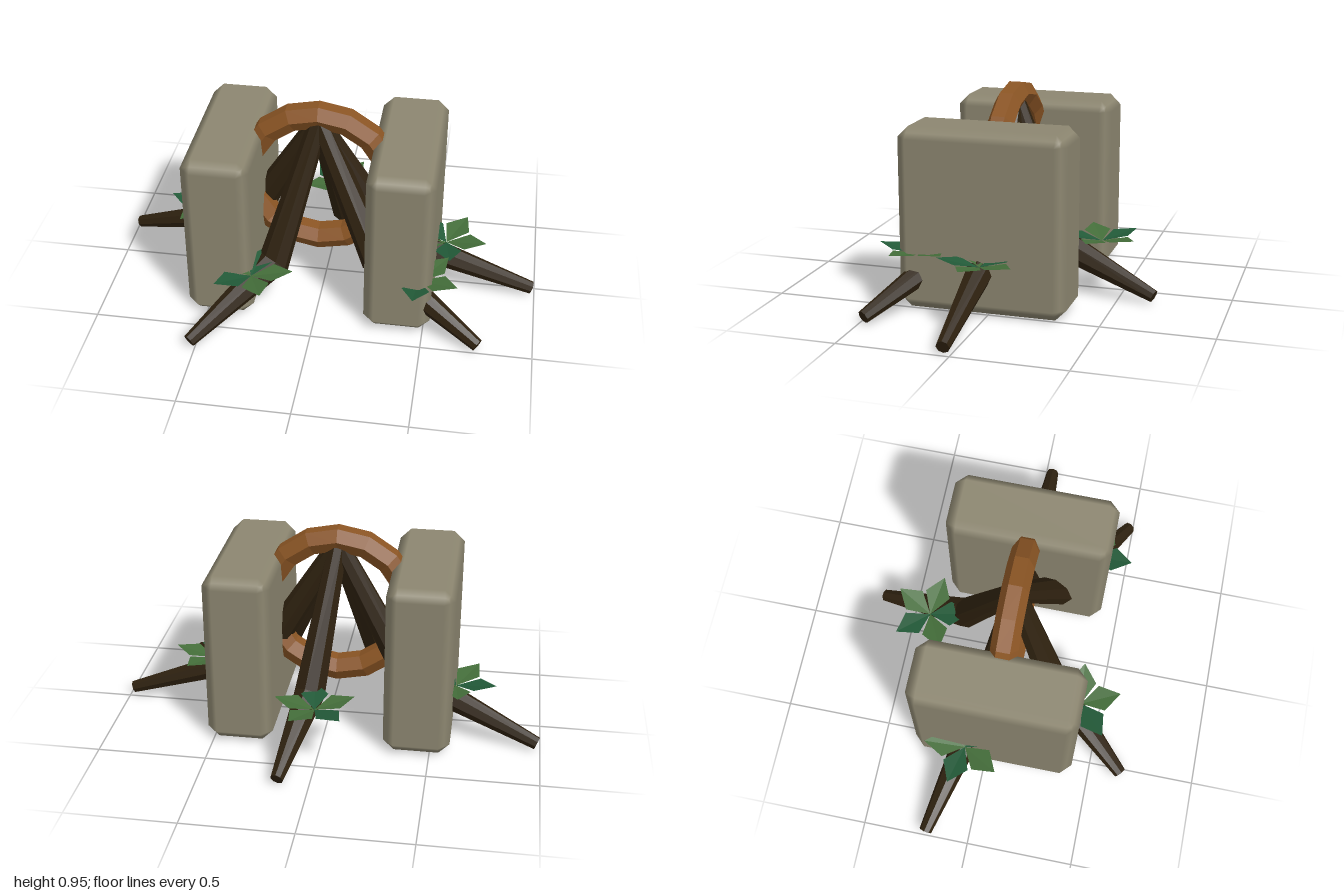
import * as THREE from 'three';

const mat = (name, color, extra = {}) => {
  const m = new THREE.MeshStandardMaterial({ color, ...extra });
  m.name = name;
  return m;
};

// Give every face its own normals for a low-poly look
const faceted = (geo) => {
  const g = geo.toNonIndexed();
  g.computeVertexNormals();
  return g;
};

// Box with a single chamfer on all edges, shaded smoothly across the chamfer
function chamferBox(w, h, d, r) {
  const geo = new THREE.BoxGeometry(w, h, d, 3, 3, 3);
  const half = [w / 2, h / 2, d / 2];
  const p = geo.attributes.position, n = geo.attributes.normal;
  for (let i = 0; i < p.count; i++) {
    const c = [p.getX(i), p.getY(i), p.getZ(i)];
    const outer = c.map((v, k) => Math.abs(v) > half[k] * 0.9);
    const count = outer.filter(Boolean).length;
    const q = c.map((v, k) => Math.sign(v) * (half[k] - r + (outer[k] ? r / count : 0)));
    const nn = new THREE.Vector3(...c.map((v, k) => (outer[k] ? Math.sign(v) : 0))).normalize();
    p.setXYZ(i, ...q);
    n.setXYZ(i, nn.x, nn.y, nn.z);
  }
  return geo;
}

// Tapered root bent at the knee: cylinder rows are moved onto apex, knee and tip
function rootGeometry(points, radii) {
  const geo = new THREE.CylinderGeometry(1, 1, 1, 8, 2);
  const [a, k, t] = points;
  const upper = a.clone().sub(k).normalize();
  const lower = k.clone().sub(t).normalize();
  const axes = [upper, upper.clone().add(lower).normalize(), lower];
  const side = new THREE.Vector3(t.z - a.z, 0, a.x - t.x).normalize();
  const p = geo.attributes.position;
  for (let i = 0; i < p.count; i++) {
    const row = Math.round((0.5 - p.getY(i)) * 2);
    const s = new THREE.Vector3().crossVectors(side, axes[row]).normalize();
    const x = Math.abs(p.getX(i)) < 1e-6 ? 0 : p.getX(i);
    const v = points[row].clone()
      .addScaledVector(side, x * radii[row])
      .addScaledVector(s, p.getZ(i) * radii[row]);
    p.setXYZ(i, v.x, v.y, v.z);
  }
  return faceted(geo);
}

// Diamond leaf folded along its midrib, pointing along +x
function leafGeometry() {
  const geo = new THREE.BufferGeometry();
  const base = [0, 0, 0], tip = [0.19, 0.035, 0];
  const l = [0.1, 0.025, 0.062], r = [0.1, 0.025, -0.062];
  geo.setAttribute('position', new THREE.Float32BufferAttribute(
    [base, l, tip, base, tip, r].flat(), 3));
  geo.computeVertexNormals();
  return geo;
}

export function createModel() {
  const model = new THREE.Group();
  const stone = mat('stone', 0x8c8670);
  const wood = mat('dark root wood', 0x2e210f);
  const copper = mat('ring brown', 0x8b5524);
  const greens = [
    mat('leaf green', 0x446e3a, { side: THREE.DoubleSide }),
    mat('deep leaf green', 0x225a38, { side: THREE.DoubleSide }),
  ];
  const add = (name, geo, material, parent = model) => {
    const m = new THREE.Mesh(geo, material);
    m.name = name;
    parent.add(m);
    return m;
  };

  // Two stone slabs
  for (const [name, x] of [['rightSlab', -0.438], ['leftSlab', 0.378]]) {
    add(name, chamferBox(0.305, 0.82, 0.765, 0.05), stone).position.set(x, 0.41, 0.033);
  }

  // Upright ring with a hexagonal section, flat side outward
  const section = [];
  for (let i = 0; i <= 6; i++) {
    const a = (i - 0.5) * Math.PI / 3;
    section.push(new THREE.Vector2(0.331 + 0.0625 * Math.cos(a), 0.0625 * Math.sin(a)));
  }
  const ring = add('ring', faceted(new THREE.LatheGeometry(section, 16)), copper);
  ring.rotation.x = Math.PI / 2;
  ring.position.set(-0.03, 0.562, 0.033);

  // Five roots spreading from the apex, each with a leaf cluster
  const roots = [
    { knee: [-0.37, 0.26, -0.05], tip: [-0.985, 0.032, -0.205], leaf: [-0.6, 0.24, -0.09], turn: 95 },
    { knee: [0.065, 0.215, -0.225], tip: [0.14, 0.032, -0.665], leaf: [0.015, 0.235, -0.395], turn: 62 },
    { knee: [0.33, 0.26, 0.035], tip: [0.985, 0.032, 0.033], leaf: [0.57, 0.24, 0.015], turn: 62 },
    { knee: [0.26, 0.25, 0.2], tip: [0.755, 0.03, 0.48], leaf: [0.47, 0.245, 0.33], turn: 50 },
    { knee: [-0.205, 0.225, 0.26], tip: [-0.525, 0.032, 0.65], leaf: [-0.285, 0.24, 0.405], turn: 5 },
  ];
  const leaf = leafGeometry();
  const V = (a) => new THREE.Vector3(...a);
  roots.forEach(({ knee, tip, leaf: at, turn }, i) => {
    const path = [V([-0.03, 0.86, 0.035]), V(knee), V(tip)];
    add('root' + (i + 1), rootGeometry(path, [0.045, 0.075, 0.03]), wood);
    const cluster = new THREE.Group();
    cluster.name = 'leafCluster' + (i + 1);
    cluster.position.set(...at);
    for (let k = 0; k < 5; k++) {
      const m = add('leaf', leaf, greens[k % 2], cluster);
      m.rotation.y = (turn + k * 72) * Math.PI / 180;
    }
    model.add(cluster);
  });
  return model;
}
